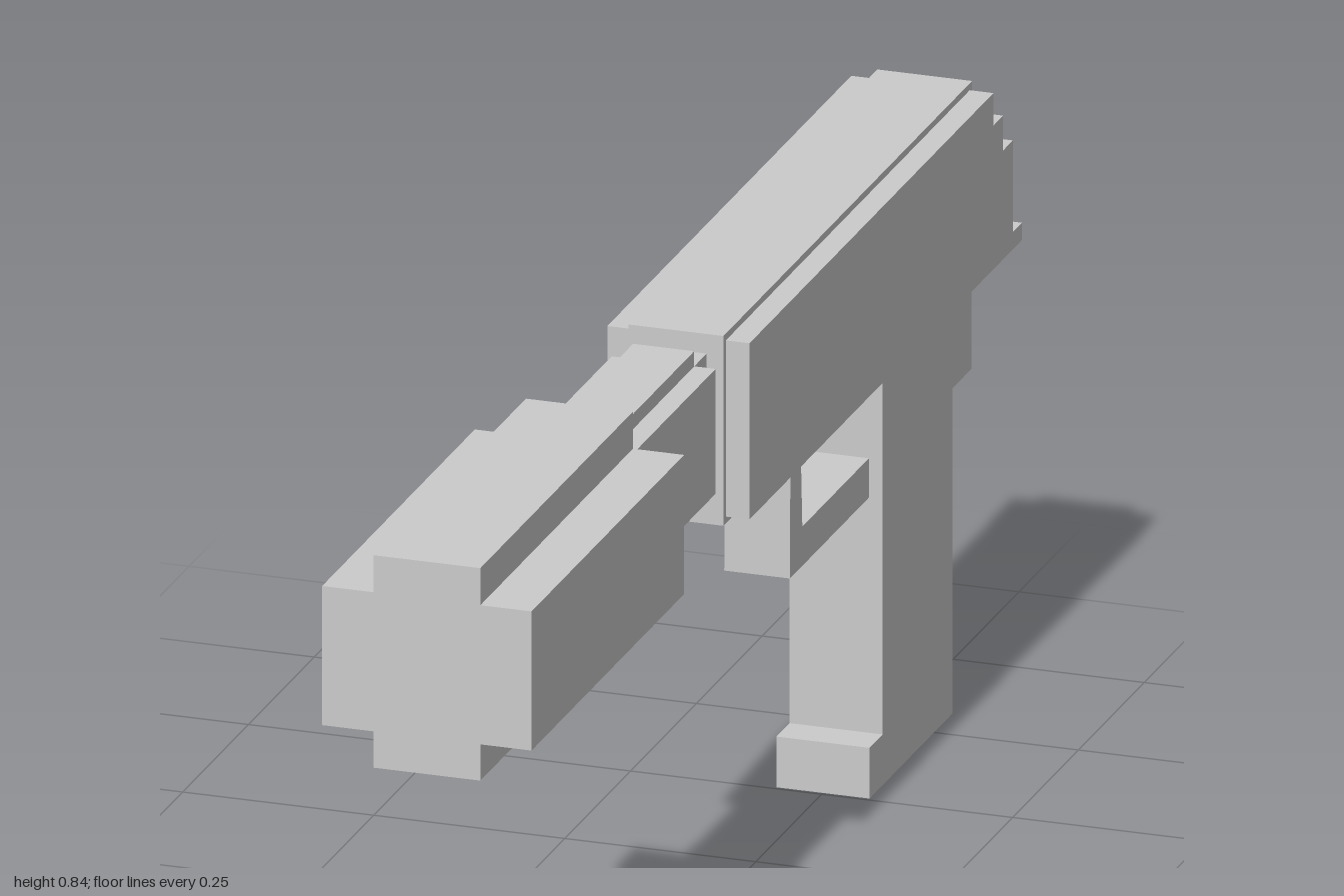
import * as THREE from 'three';

const material = new THREE.MeshStandardMaterial({ color: 0xcccccc, flatShading: true });

// Side profile of [z, y] points, extruded symmetrically across x
function sidePlate(name, halfWidth, points) {
  const shape = new THREE.Shape(points.map(([z, y]) => new THREE.Vector2(z, y)));
  const geometry = new THREE.ExtrudeGeometry(shape, { depth: halfWidth * 2, bevelEnabled: false });
  geometry.translate(0, 0, -halfWidth);
  geometry.rotateY(-Math.PI / 2);
  const mesh = new THREE.Mesh(geometry, material);
  mesh.name = name;
  return mesh;
}

// Plus-shaped bar along z: wide, low arms crossed with a narrow, tall core
function crossBar(name, z0, z1, wide, armY0, armY1, narrow, coreY0, coreY1) {
  const outline = [
    [wide, armY0], [wide, armY1], [narrow, armY1], [narrow, coreY1],
    [-narrow, coreY1], [-narrow, armY1], [-wide, armY1], [-wide, armY0],
    [-narrow, armY0], [-narrow, coreY0], [narrow, coreY0], [narrow, armY0],
  ];
  const shape = new THREE.Shape(outline.map(([x, y]) => new THREE.Vector2(x, y)));
  const geometry = new THREE.ExtrudeGeometry(shape, { depth: z1 - z0, bevelEnabled: false });
  geometry.translate(0, 0, z0);
  const mesh = new THREE.Mesh(geometry, material);
  mesh.name = name;
  return mesh;
}

// Slide outline with a stepped rear, shrunk inward by inset
function slideProfile(inset) {
  const bottom = 0.56 + inset;
  const front = 0.053 - inset;
  const points = [[front, bottom], [front, 0.811 - inset]];
  const steps = [[-0.892, 0.811], [-0.929, 0.768], [-0.966, 0.722], [-1, 0.601]];
  steps.forEach(([z, y], i) => {
    if (i > 0) points.push([steps[i - 1][0] + inset, y - inset]);
    points.push([z + inset, y - inset]);
  });
  points.push([-1 + inset, bottom]);
  return points;
}

export function createModel() {
  const model = new THREE.Group();
  model.name = 'pistol';

  // Suppressor, barrel and the thin neck joining the slide
  model.add(crossBar('suppressor', 0.42, 1, 0.137, 0.61, 0.794, 0.07, 0.562, 0.843));
  model.add(crossBar('barrel', 0.1, 0.42, 0.068, 0.62, 0.785, 0.04, 0.597, 0.805));
  const neck = new THREE.Mesh(new THREE.BoxGeometry(0.08, 0.165, 0.07), material);
  neck.name = 'neck';
  neck.position.set(0, 0.7025, 0.075);
  model.add(neck);

  // Slide: narrow core with slightly smaller, wider side plates
  model.add(sidePlate('slideCore', 0.062, slideProfile(0)));
  model.add(sidePlate('slideSides', 0.093, slideProfile(0.009)));

  // Grip with rear tang and front toe
  model.add(sidePlate('grip', 0.061, [
    [-0.505, 0], [-0.505, 0.067], [-0.555, 0.067], [-0.555, 0.57],
    [-0.893, 0.57], [-0.893, 0.43], [-0.82, 0.43], [-0.82, 0],
  ]));

  // Trigger guard
  model.add(sidePlate('triggerGuard', 0.043, [
    [-0.255, 0.378], [-0.257, 0.57], [-0.294, 0.57], [-0.302, 0.43],
    [-0.57, 0.43], [-0.57, 0.378],
  ]));

  return model;
}
